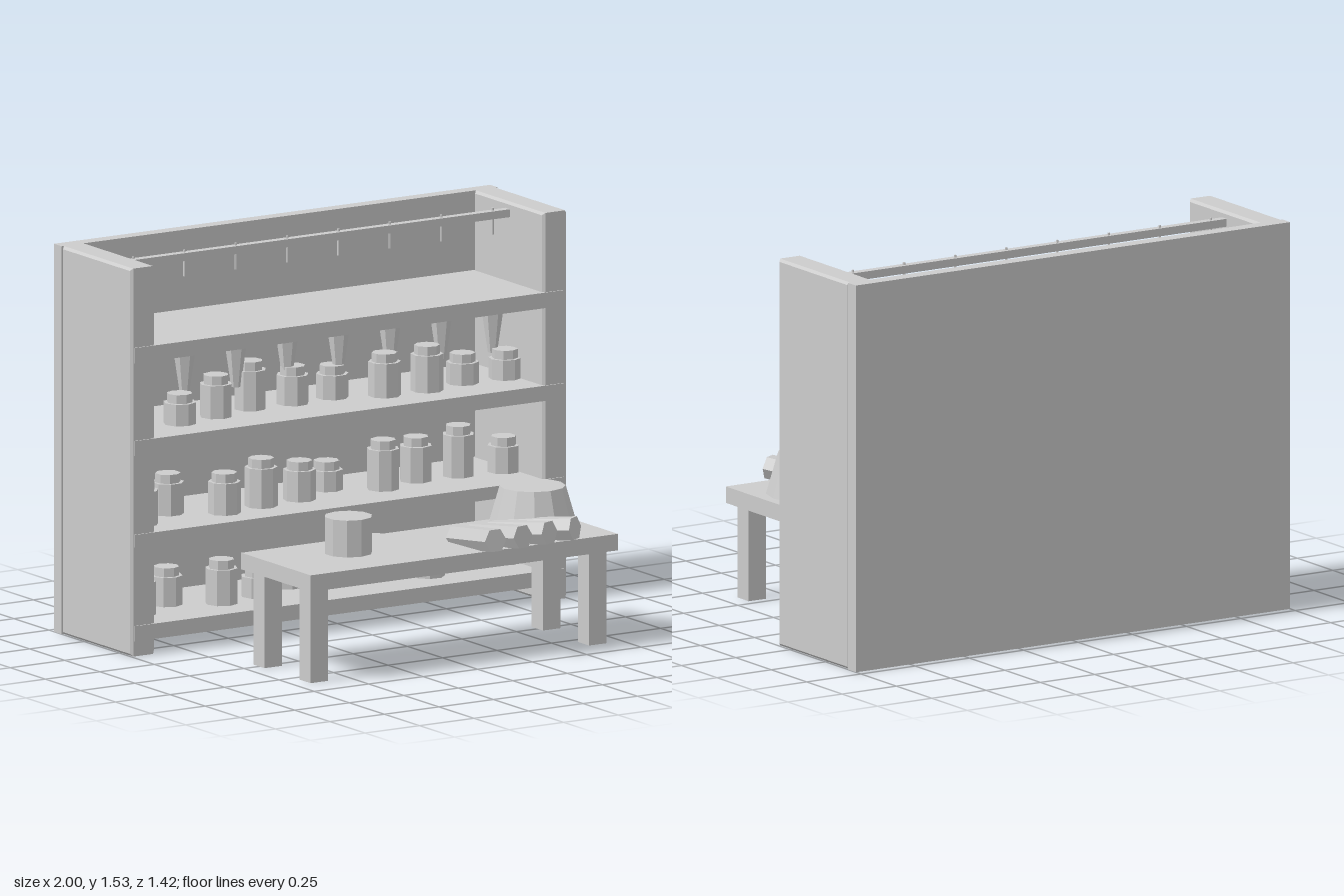
import * as THREE from 'three';

export function createModel() {
  const model = new THREE.Group();
  const grey = new THREE.MeshStandardMaterial({ color: 0xcccccc, flatShading: true });
  grey.name = 'plainGrey';

  const add = (name, geometry, x = 0, y = 0, z = 0, parent = model) => {
    const mesh = new THREE.Mesh(geometry, grey);
    mesh.name = name;
    mesh.position.set(x, y, z);
    parent.add(mesh);
    return mesh;
  };
  // box given by its two opposite corners
  const box = (name, x0, x1, y0, y1, z0, z1) =>
    add(name, new THREE.BoxGeometry(x1 - x0, y1 - y0, z1 - z0), (x0 + x1) / 2, (y0 + y1) / 2, (z0 + z1) / 2);
  // upright faceted solid standing on y
  const drum = (name, rTop, rBottom, h, sides, x, y, z, parent) =>
    add(name, new THREE.CylinderGeometry(rTop, rBottom, h, sides), x, y + h / 2, z, parent);

  // cabinet back
  box('cabinetBack', -1, 1, 0, 1.53, -0.715, -0.66);

  // chamfered side panels, extruded along x
  const c = 0.01, zBack = -0.66, zFront = -0.165, top = 1.53;
  const outline = new THREE.Shape([
    new THREE.Vector2(-zFront + c, c), new THREE.Vector2(-zBack - c, c),
    new THREE.Vector2(-zBack - c, top - c), new THREE.Vector2(-zFront + c, top - c),
  ]);
  const panel = new THREE.ExtrudeGeometry(outline, {
    depth: 0.11 - 2 * c, bevelEnabled: true, bevelThickness: c, bevelSize: c, bevelSegments: 1,
  });
  panel.rotateY(Math.PI / 2);
  for (const x of [-1 + c, 0.89 + c]) add('cabinetSide', panel, x);

  // shelves, let into the sides
  for (const [y0, y1] of [[0.06, 0.12], [0.43, 0.48], [0.79, 0.85], [1.156, 1.217]])
    box('shelf', -0.985, 0.985, y0, y1, -0.66, -0.16);

  // hanging rail with pegs, and tapered bundles under the top shelf
  box('hangingRail', -0.89, 0.89, 1.472, 1.503, -0.435, -0.402);
  for (let i = 0; i < 8; i++) {
    const x = -0.827 + i * 0.2355;
    drum('railPeg', 0.005, 0.005, 0.105, 6, x, 1.408, -0.42);
    drum('hangingBundle', 0.05, 0.018, 0.22, 6, x, 0.945, -0.42);
  }

  // jars: top height and depth of each, per shelf
  const rows = [
    [0.12, [0.285, 0.27, 0.295, 0.235, 0.265, 0.27, 0.285, 0.235, 0.27, 0.235],
      [-0.34, -0.44, -0.34, -0.38, -0.46, -0.43, -0.41, -0.33, -0.40, -0.38]],
    [0.48, [0.65, 0.64, 0.64, 0.67, 0.635, 0.595, 0.675, 0.655, 0.68, 0.62],
      [-0.32, -0.43, -0.32, -0.35, -0.37, -0.47, -0.36, -0.42, -0.41, -0.38]],
    [0.85, [0.98, 0.97, 1.015, 1.04, 1.0, 0.98, 1.02, 1.03, 0.97, 0.965],
      [-0.37, -0.345, -0.38, -0.43, -0.42, -0.43, -0.35, -0.34, -0.38, -0.37]],
  ];
  for (const [y, tops, depths] of rows) {
    tops.forEach((t, i) => {
      const jar = new THREE.Group();
      jar.name = 'jar';
      jar.position.set(-0.85 + i * 0.1885, y, depths[i]);
      jar.rotation.y = i * 0.7 + y;
      const h = t - y;
      drum('jarBody', 0.064, 0.064, h - 0.035, 8, 0, 0, 0, jar);
      drum('jarLid', 0.05, 0.05, 0.045, 8, 0, h - 0.045, 0, jar);
      model.add(jar);
    });
  }

  // table
  box('tableTop', -0.705, 0.705, 0.37, 0.435, 0.16, 0.655);
  for (const x of [-0.68, 0.597])
    for (const z of [0.208, 0.536]) box('tableLeg', x, x + 0.08, 0, 0.37, z, z + 0.08);

  // pot and upturned bowl on the table
  drum('pot', 0.094, 0.094, 0.145, 10, -0.355, 0.435, 0.38);
  drum('bowl', 0.128, 0.176, 0.167, 12, 0.49, 0.435, 0.38);

  // fanned hexagonal rolls, front ends raised
  const roll = new THREE.CylinderGeometry(0.049, 0.049, 0.28, 6, 1, false, Math.PI / 6);
  roll.rotateX(Math.PI / 2);
  [[0.115, 0.56, 0], [0.22, 0.56, 0.16], [0.325, 0.555, 0.33], [0.43, 0.55, 0.5]].forEach(([x, z, turn]) => {
    add('roll', roll, x, 0.468, z).rotation.set(-0.12, turn, 0, 'YXZ');
  });

  return model;
}
